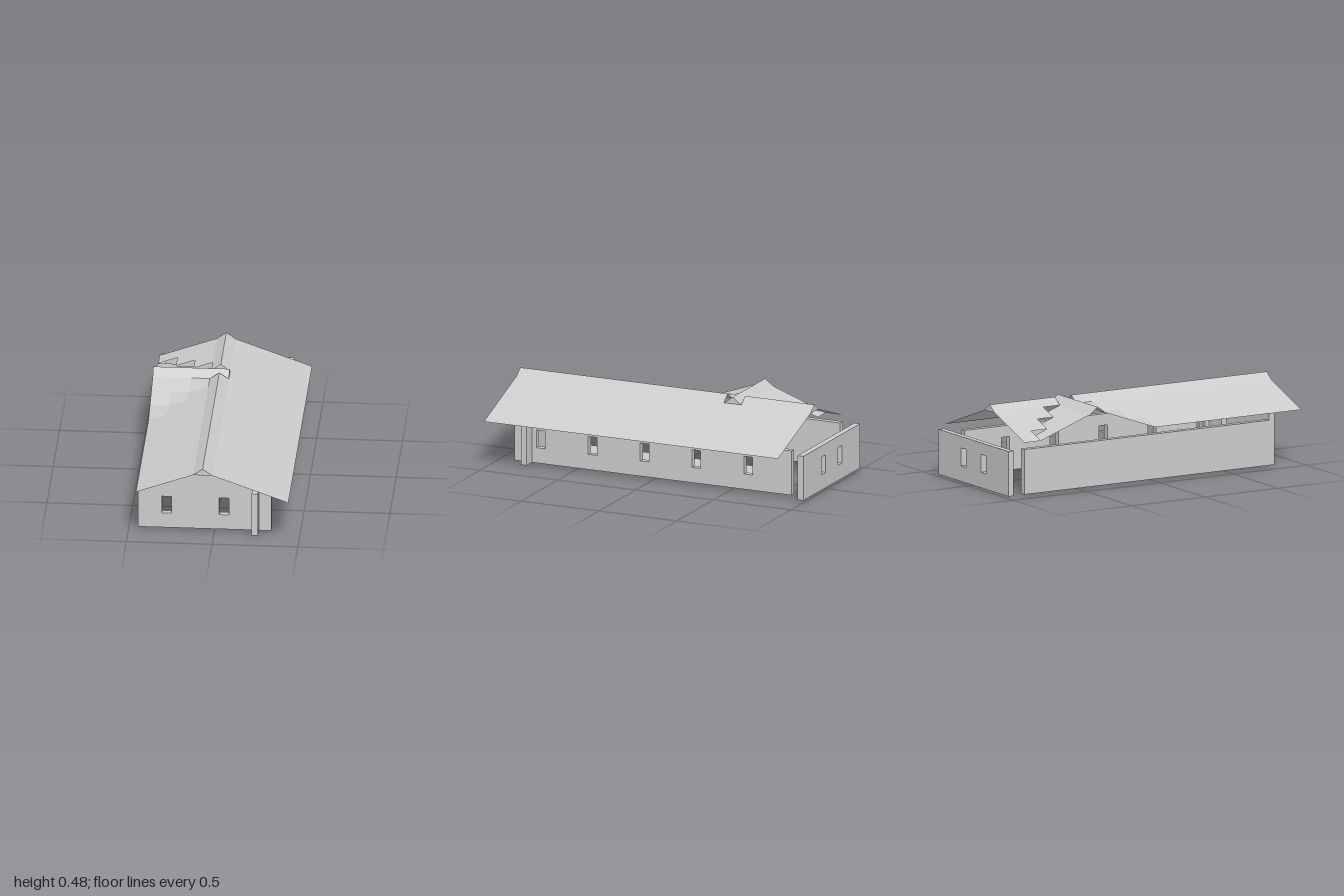
import * as THREE from 'three';

const T = 1 / 9;          // tile size
const RISE = 0.04;        // roof rise per tile
const WALL = 0.037, BASE = 0.013, EAVE = 0.28;
const WIN = { w: 0.056, y0: 0.105, y1: 0.212 };

const grey = new THREE.MeshStandardMaterial({ color: 0xcccccc, flatShading: true });
const thin = new THREE.MeshStandardMaterial({ color: 0xcccccc, flatShading: true, side: THREE.DoubleSide });

// Wall from an outline (u, y) with window openings centred on the given u values
function wall(name, outline, windows) {
  const shape = new THREE.Shape(outline.map(([u, y]) => new THREE.Vector2(u, y)));
  for (const u of windows) {
    const h = WIN.w / 2;
    shape.holes.push(new THREE.Path([
      [u - h, WIN.y0], [u - h, WIN.y1], [u + h, WIN.y1], [u + h, WIN.y0],
    ].map(([a, b]) => new THREE.Vector2(a, b))));
  }
  const geo = new THREE.ExtrudeGeometry(shape, { depth: WALL, bevelEnabled: false });
  const mesh = new THREE.Mesh(geo, grey);
  mesh.name = name;
  return mesh;
}

const rect = (u0, u1, y0, y1) => [[u0, y0], [u1, y0], [u1, y1], [u0, y1]];

// Thin sheet made of polygons, each a loop of 3 or 4 corners
function sheet(name, polys) {
  const pos = [];
  for (const p of polys)
    for (let i = 1; i < p.length - 1; i++) pos.push(...p[0], ...p[i], ...p[i + 1]);
  const geo = new THREE.BufferGeometry();
  geo.setAttribute('position', new THREE.Float32BufferAttribute(pos, 3));
  geo.computeVertexNormals();
  const mesh = new THREE.Mesh(geo, thin);
  mesh.name = name;
  return mesh;
}

// Sloping strip running along z (xz pairs of x, y) or along x (zy pairs)
const alongZ = (x0, y0, x1, y1, z0, z1) => [[x0, y0, z0], [x0, y0, z1], [x1, y1, z1], [x1, y1, z0]].reverse();
const alongX = (z0, y0, z1, y1, x0, x1) => [[x0, y0, z0], [x1, y0, z0], [x1, y1, z1], [x0, y1, z1]];

export function createModel() {
  const group = new THREE.Group();

  // Front gable wall with stepped top
  const top = [[3 * T, EAVE], [2 * T, EAVE], [2 * T, 0.32], [T, 0.32], [T, 0.36], [0, 0.36], [0, 0.4],
    [-T, 0.4], [-T, 0.36], [-2 * T, 0.36], [-2 * T, 0.32], [-4 * T, 0.32]];
  const front = wall('frontWall', [[-4 * T, BASE], [3 * T, BASE], ...top], [-2.5 * T, 0.5 * T]);
  front.position.z = 7 * T;
  group.add(front);

  // Detached back wall
  const back = wall('backWall', rect(-4 * T, 3 * T, BASE, EAVE), [-1.5 * T, 0.5 * T]);
  back.position.z = -9 * T;
  group.add(back);

  // Long side walls; u runs along -z after the turn
  const side = wall('windowedSideWall', rect(-8 * T, 8 * T, BASE, EAVE),
    [-6.5, -3.5, -0.5, 2.5, 5.5].map(k => k * T));
  side.rotation.y = Math.PI / 2;
  side.position.x = 2 * T;
  const plain = wall('plainSideWall', rect(-7 * T, 8 * T, BASE, EAVE), []);
  plain.rotation.y = Math.PI / 2;
  plain.position.x = -4 * T;
  group.add(side, plain);

  // Floor slab
  const floor = new THREE.Mesh(new THREE.BoxGeometry(2 * T, BASE, 11 * T), grey);
  floor.name = 'floor';
  floor.position.set(-T, BASE / 2, 0.5 * T);
  group.add(floor);

  // Main roof: full right slope, left slope stepped around the cross gable
  const Z0 = 9 * T, Z1 = -8 * T, yR = 0.44, yTop = 0.48;
  const main = [alongZ(0, yR, 4 * T, EAVE, Z0, Z1)];
  for (let i = 0; i < 3; i++) {
    const x = (i - 4) * T, y = 0.32 + i * RISE;
    main.push(alongZ(x, y, x + T, y + RISE, Z0, -i * T));
    main.push(alongZ(x, y, x + T, y + RISE, (i - 7) * T, Z1));
  }
  group.add(sheet('mainRoof', main));

  // Main ridge cap, interrupted by the cross ridge
  const ridge = [];
  for (const [a, b] of [[Z0, -3 * T], [-4 * T, Z1]]) {
    ridge.push(alongZ(-T, yR, -T / 2, yTop, a, b), alongZ(-T / 2, yTop, 0, yR, a, b));
  }
  ridge.push([[-T, yR, Z0], [0, yR, Z0], [-T / 2, yTop, Z0]]);
  ridge.push([[0, yR, Z1], [-T, yR, Z1], [-T / 2, yTop, Z1]]);
  group.add(sheet('mainRidge', ridge));

  // Cross gable ridge with its closed end
  const zc = -3.5 * T;
  group.add(sheet('crossRidge', [
    alongX(-3 * T, yR, zc, yTop, -4 * T, 0),
    alongX(zc, yTop, -4 * T, yR, -4 * T, 0),
    [[0, yR, -3 * T], [0, yR, -4 * T], [0, yTop, zc]],
  ]));

  // Cross gable slopes: shrinking rows of tiles, with folded corner tiles on the front side
  const cross = [], corners = [];
  for (let j = 0; j < 3; j++) {
    const hi = yR - j * RISE, lo = hi - RISE;
    const zs = (j - 3) * T, zn = -(4 + j) * T;
    const xc = -(2 + j) * T, xd = xc + T;
    if (j < 2) cross.push(alongX(zs + T, lo, zs, hi, -4 * T, xc));
    cross.push(alongX(zn, hi, zn - T, lo, -4 * T, xd));
    corners.push([[xc, hi, zs], [xd, hi, zs + T], [xd, hi, zs]]);
    corners.push([[xc, hi, zs], [xc, lo, zs + T], [xd, hi, zs + T]]);
  }
  group.add(sheet('crossRoof', cross), sheet('valleyTiles', corners));

  return group;
}
